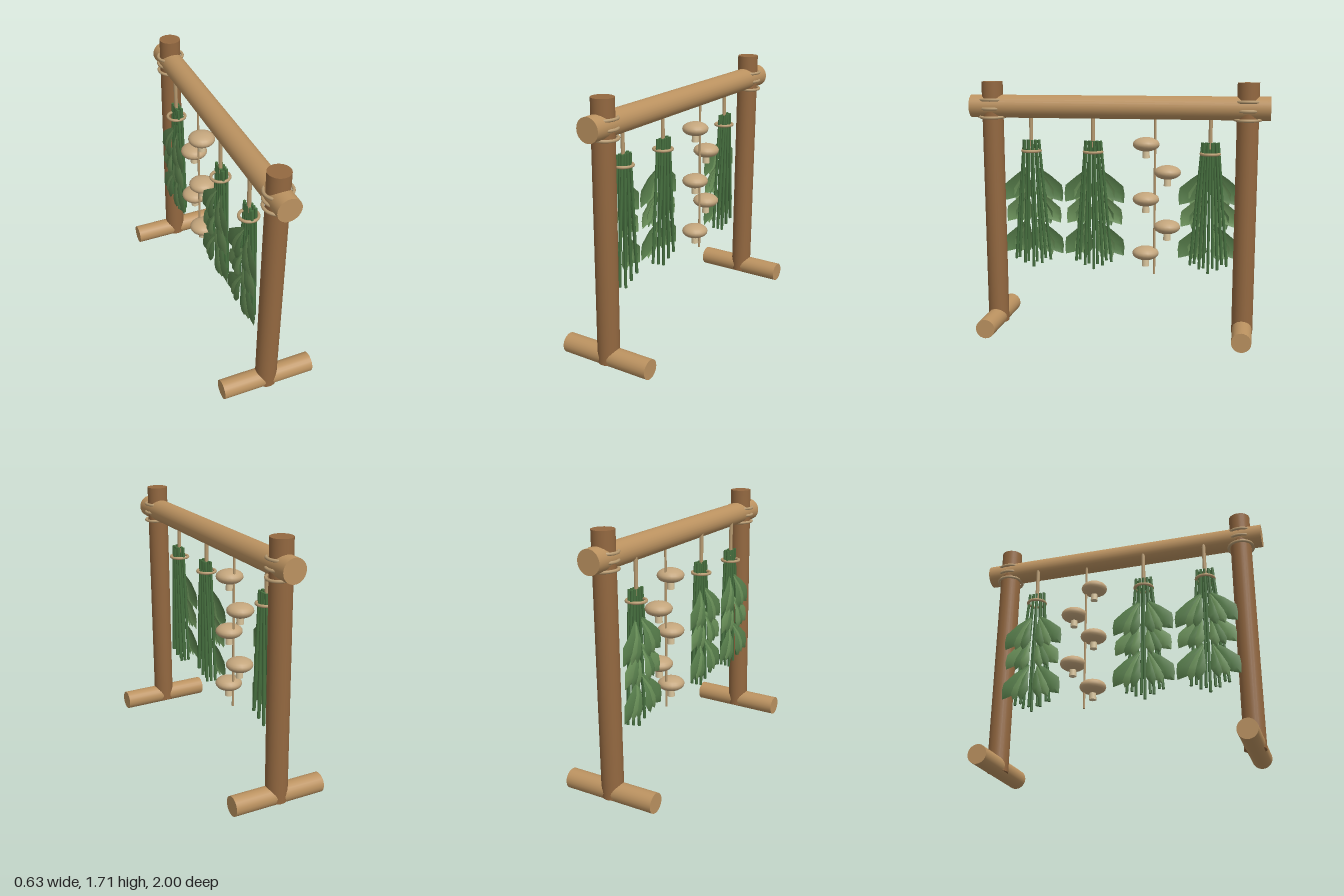
import * as THREE from 'three';

const mat = (color, side = THREE.FrontSide) => new THREE.MeshStandardMaterial({ color, side });
const paleWood = mat(0xbb9260), darkWood = mat(0x936840), rope = mat(0xb79a70);
const stemGreen = mat(0x46703f), capTan = mat(0xc3a57c), stalkCream = mat(0xd8c49c);
const leafGreens = [mat(0x587f4c, THREE.DoubleSide), mat(0x6a9159, THREE.DoubleSide)];

function add(parent, name, geometry, material, x = 0, y = 0, z = 0) {
  const mesh = new THREE.Mesh(geometry, material);
  mesh.name = name;
  mesh.position.set(x, y, z);
  parent.add(mesh);
  return mesh;
}

// Round pole between two points
function pole(parent, name, a, b, radius, material, sides = 24) {
  const from = new THREE.Vector3(...a), to = new THREE.Vector3(...b);
  const dir = to.clone().sub(from);
  const mesh = add(parent, name, new THREE.CylinderGeometry(radius, radius, dir.length(), sides), material);
  mesh.position.copy(from).add(to).multiplyScalar(0.5);
  mesh.quaternion.setFromUnitVectors(new THREE.Vector3(0, 1, 0), dir.normalize());
  return mesh;
}

// Horizontal rope ring
function ring(parent, name, radius, tube, x, y, z) {
  const geometry = new THREE.TorusGeometry(radius, tube, 8, 28).rotateX(Math.PI / 2);
  return add(parent, name, geometry, rope, x, y, z);
}

// Cupped leaf growing down -y, bulging towards -x, widest near its tip
function leafGeometry(length, width) {
  const rows = [[0, 0.08, 0], [0.35, 0.6, 0.035], [0.68, 1, 0.045], [0.85, 0.6, 0.04], [1, 0.02, 0.025]];
  const positions = [], index = [];
  rows.forEach(([t, w, bulge], r) => {
    for (const s of [-1, 0, 1]) {
      positions.push(-bulge + Math.abs(s) * w * 0.022, -t * length, s * w * width);
    }
    if (r === 0) return;
    for (let k = 0; k < 2; k++) {
      const a = (r - 1) * 3 + k, b = a + 3;
      index.push(a, a + 1, b, a + 1, b + 1, b);
    }
  });
  const geometry = new THREE.BufferGeometry();
  geometry.setAttribute('position', new THREE.Float32BufferAttribute(positions, 3));
  geometry.setIndex(index);
  geometry.computeVertexNormals();
  return geometry;
}

// Tied bunch of herbs hanging from the rail
function herbBundle(z) {
  const bundle = new THREE.Group();
  bundle.name = 'herbBundle';
  bundle.position.set(-0.04, 0, z);
  pole(bundle, 'hangingCord', [0, 1.27, 0], [0, 1.51, 0], 0.013, rope, 10);
  ring(bundle, 'tie', 0.061, 0.01, 0, 1.24, 0);

  // Stems fan out downwards
  for (let i = -4; i <= 4; i++) {
    const x = i % 2 ? 0.025 : -0.005;
    const bottom = 0.42 + Math.abs(i) * 0.014 + (i % 2 ? 0.03 : 0);
    pole(bundle, 'stem', [x, 1.315, i * 0.013], [x * 0.7, bottom, i * 0.031], 0.01, stemGreen, 7);
  }

  // Three tiers of mirrored leaves
  [[1.13, 1], [0.96, 0.92], [0.76, 1]].forEach(([y, size], tier) => {
    [[0.62, 0.3, 0.066], [0.38, 0.26, 0.05], [0.16, 0.24, 0.042]].forEach(([angle, length, width], k) => {
      for (const side of [-1, 1]) {
        const leaf = add(bundle, 'leaf', leafGeometry(length * size, width * size),
          leafGreens[(tier + k) % 2], -0.012 - k * 0.004, y - k * 0.015, side * 0.03);
        leaf.rotation.x = -side * angle;
      }
    });
  });
  return bundle;
}

// String of drying mushrooms
function mushroomString() {
  const group = new THREE.Group();
  group.name = 'mushroomString';
  group.position.x = -0.02;
  pole(group, 'string', [0, 0.41, -0.25], [0, 1.51, -0.25], 0.008, rope, 8);
  for (let i = 0; i < 5; i++) {
    const y = 1.3 - i * 0.186, z = i % 2 ? -0.335 : -0.19;
    add(group, 'mushroomCap', new THREE.SphereGeometry(0.09, 20, 12).scale(1, 0.53, 1), capTan, 0, y, z);
    add(group, 'mushroomStalk', new THREE.CylinderGeometry(0.022, 0.025, 0.08, 12), stalkCream, 0, y - 0.052, z);
  }
  return group;
}

export function createModel() {
  const model = new THREE.Group();
  model.name = 'dryingRack';

  // Frame: rail, and at each end a post, foot and rope lashing
  pole(model, 'rail', [0.015, 1.545, -1], [0.015, 1.545, 1], 0.077, paleWood, 28);
  for (const end of [-1, 1]) {
    const z = end * 0.855;
    pole(model, 'foot', [-0.315, 0.065, z], [0.315, 0.065, z], 0.065, paleWood);
    pole(model, 'post', [0, 0.03, z], [0.015, 1.71, z], 0.071, darkWood);
    [1.475, 1.53, 1.585].forEach((y, i) => {
      const lashing = ring(model, 'lashing', 0.085, 0.01, 0.015, y, z);
      lashing.rotation.z = (i - 1) * 0.06;
    });
  }

  for (const z of [0.605, 0.175, -0.615]) model.add(herbBundle(z));
  model.add(mushroomString());
  return model;
}
